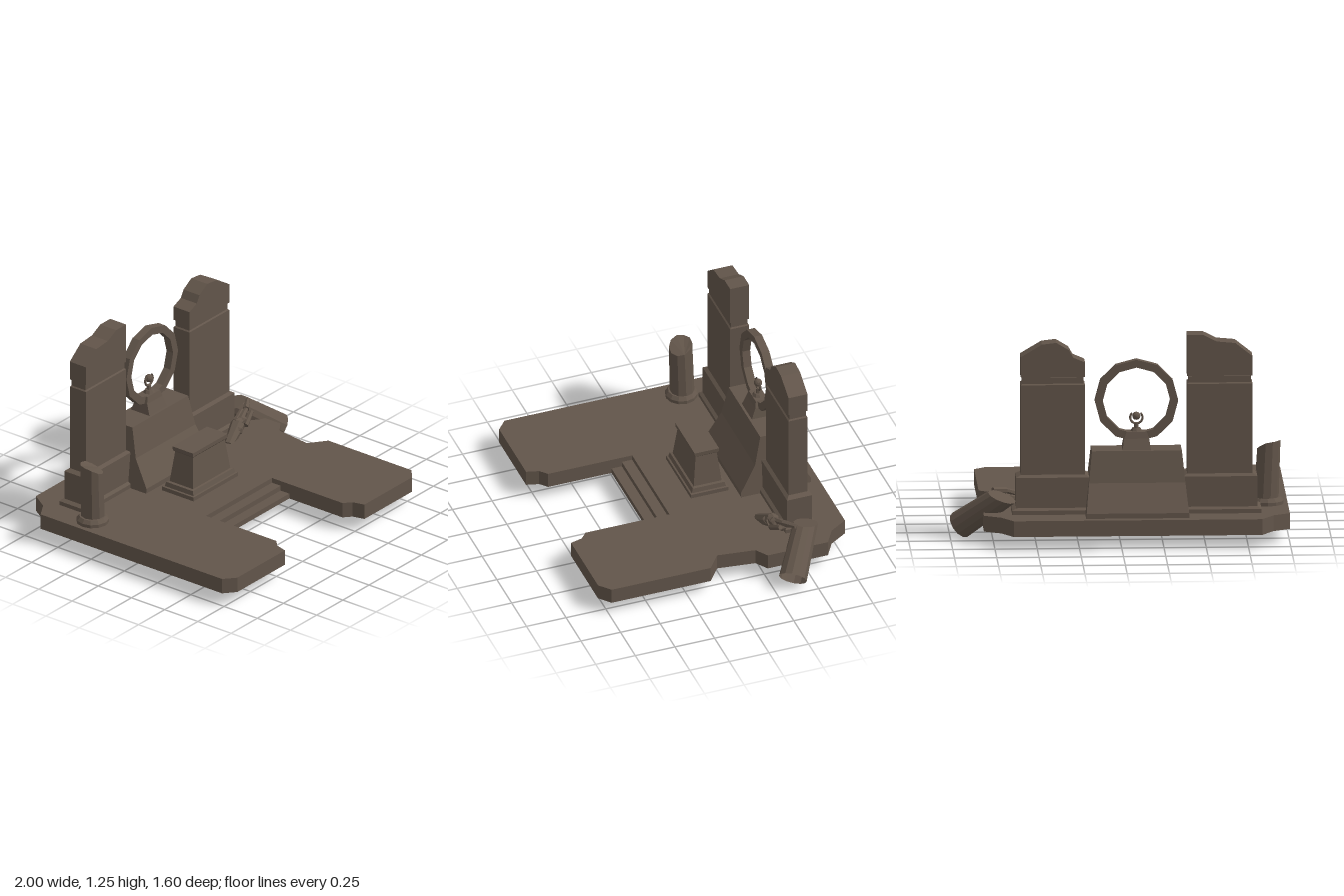
import * as THREE from 'three';

const V = (x, y, z) => new THREE.Vector3(x, y, z);
const stone = new THREE.MeshStandardMaterial({ color: 0x62554a, side: THREE.DoubleSide });
stone.name = 'weathered stone';

// flat-faced mesh
function part(name, geometry, parent) {
  const g = geometry.index ? geometry.toNonIndexed() : geometry;
  g.computeVertexNormals();
  const mesh = new THREE.Mesh(g, stone);
  mesh.name = name;
  parent.add(mesh);
  return mesh;
}

// skin over rings of points, listed counter-clockwise seen from the last ring
function loft(rings, closed = true, cap = true) {
  const pos = [], n = rings[0].length;
  const tri = (...pts) => pts.forEach(p => pos.push(p.x, p.y, p.z));
  for (let r = 0; r < rings.length - 1; r++) {
    const a = rings[r], b = rings[r + 1];
    for (let i = 0; i < (closed ? n : n - 1); i++) {
      const j = (i + 1) % n;
      tri(a[i], a[j], b[j]);
      tri(a[i], b[j], b[i]);
    }
  }
  if (cap) {
    const top = rings[rings.length - 1];
    for (let i = 1; i < n - 1; i++) tri(top[0], top[i], top[i + 1]);
  }
  const g = new THREE.BufferGeometry();
  g.setAttribute('position', new THREE.Float32BufferAttribute(pos, 3));
  return g;
}

// stacked rectangles: levels are [y, half width, half depth]
const stack = (cx, cz, levels) => loft(levels.map(([y, w, d]) => [
  V(cx - w, y, cz + d), V(cx + w, y, cz + d), V(cx + w, y, cz - d), V(cx - w, y, cz - d)]));

// horizontal circle of points around the origin
const circle = (r, n) => Array.from({ length: n }, (_, i) => {
  const a = i / n * Math.PI * 2;
  return V(Math.cos(a) * r, 0, -Math.sin(a) * r);
});

// tapered rod between two points
function rod(name, a, b, ra, rb, parent, sides = 6) {
  const dir = b.clone().sub(a);
  const m = part(name, new THREE.CylinderGeometry(rb, ra, dir.length(), sides), parent);
  m.position.copy(a).add(b).multiplyScalar(0.5);
  m.quaternion.setFromUnitVectors(V(0, 1, 0), dir.normalize());
}

function buildFloor(parent) {
  const low = 0.085, high = 0.18;
  const outline = [[0.22, 0.15], [0.22, 0.68], [0.265, 0.72], [0.285, 0.795], [0.74, 0.795],
    [0.81, 0.735], [0.81, 0.11], [0.705, 0.03], [0.735, -0.2], [0.81, -0.25], [0.81, -0.63],
    [0.71, -0.69], [0.64, -0.8], [-0.83, -0.8], [-0.9, -0.69], [-1, -0.63], [-1, 0.735],
    [-0.93, 0.795], [-0.475, 0.795], [-0.455, 0.72], [-0.41, 0.68], [-0.41, 0.15]];
  const shape = new THREE.Shape(outline.map(([x, z]) => new THREE.Vector2(x, -z)));
  part('floorTop', new THREE.ShapeGeometry(shape).rotateX(-Math.PI / 2).translate(0, high, 0), parent);
  // hollow underneath, so only the rim is walled
  part('floorRim', loft([low, high].map(y => outline.map(([x, z]) => V(x, y, z))), false, false), parent);
  // folded strip of steps
  const fold = [[0.28, low], [0.28, 0.117], [0.215, 0.117], [0.215, 0.149], [0.15, 0.149], [0.15, high]];
  part('steps', loft(fold.map(([z, y]) => [V(-0.41, y, z), V(0.22, y, z)]), false, false), parent);
}

// broken slab pillar; crown is the jagged front outline of its top
function buildPillar(name, cx, w, crown, parent) {
  const g = new THREE.Group();
  g.name = name;
  parent.add(g);
  const cz = -0.523;
  part('pillarShaft', stack(cx, cz, [
    [0.18, w + 0.052, 0.097], [0.205, w + 0.052, 0.097], [0.218, w + 0.028, 0.079],
    [0.4, w + 0.028, 0.079], [0.415, w, 0.06], [0.955, w, 0.06],
    [0.962, w - 0.008, 0.052], [1.0, w - 0.008, 0.052]]), g);
  const pts = [[cx - w, 1.003], [cx + w, 1.003], ...crown].map(p => new THREE.Vector2(...p));
  part('pillarCrown', new THREE.ExtrudeGeometry(new THREE.Shape(pts),
    { depth: 0.12, bevelEnabled: false }).translate(0, 0, cz - 0.06), g);
}

function buildPortal(parent) {
  const cx = -0.096, cz = -0.527;
  part('portalDais', stack(cx, cz, [[0.18, 0.306, 0.22], [0.21, 0.303, 0.22],
    [0.375, 0.285, 0.125], [0.56, 0.266, 0.085]]), parent);
  part('ringMount', stack(cx, cz, [[0.56, 0.084, 0.07], [0.625, 0.074, 0.045], [0.665, 0.06, 0.036]]), parent);

  // twelve-sided upright ring
  const polygon = r => Array.from({ length: 12 }, (_, i) =>
    new THREE.Vector2(Math.cos(i * Math.PI / 6) * r, Math.sin(i * Math.PI / 6) * r));
  const ring = new THREE.Shape(polygon(0.247));
  ring.holes.push(new THREE.Path(polygon(0.2).reverse()));
  part('portalRing', new THREE.ExtrudeGeometry(ring, { depth: 0.05, bevelEnabled: false })
    .translate(cx, 0.85, cz - 0.025), parent);

  // orb held in a crescent
  const holder = new THREE.Group();
  holder.name = 'orbHolder';
  holder.position.set(cx, 0, cz);
  parent.add(holder);
  part('holderFoot', new THREE.CylinderGeometry(0.024, 0.036, 0.02, 8).translate(0, 0.674, 0), holder);
  part('holderStem', new THREE.CylinderGeometry(0.012, 0.014, 0.035, 8).translate(0, 0.695, 0), holder);
  part('crescent', new THREE.TorusGeometry(0.036, 0.007, 5, 14, Math.PI * 1.5)
    .rotateZ(-Math.PI * 1.25).translate(0, 0.745, 0), holder);
  part('orb', new THREE.IcosahedronGeometry(0.025, 1).translate(0, 0.755, 0), holder);
}

function buildBrokenColumns(parent) {
  // standing stump with a slanted break
  const bottom = circle(0.073, 10).map(p => p.add(V(-0.873, 0.22, -0.338)));
  const top = circle(0.069, 10).map(p =>
    V(p.x - 0.888, Math.min(0.562, 0.54 - 0.4 * p.x - 0.35 * p.z), p.z - 0.334));
  part('stumpShaft', loft([bottom, top]), parent);
  part('stumpFoot', loft([[0.18, 0.097], [0.2, 0.097], [0.222, 0.08]].map(([y, r]) =>
    circle(r, 12).map(p => p.add(V(-0.878, y, -0.335))))), parent);

  // toppled column, hollow at its lower end
  const low = V(0.94, 0.072, -0.36), high = V(0.7, 0.272, -0.53);
  const axis = high.clone().sub(low).normalize();
  const turn = new THREE.Quaternion().setFromUnitVectors(V(0, 1, 0), axis);
  const lowRing = circle(0.084, 12).map(p => p.applyQuaternion(turn).add(low));
  const highRing = circle(0.073, 12).map(p => {
    p.applyQuaternion(turn);
    return p.addScaledVector(axis, -p.y * 0.5 / axis.y).add(high);
  });
  part('toppledColumn', loft([lowRing, highRing]), parent);
}

// fallen carved fragment beside the toppled column
function buildFragment(parent) {
  const g = new THREE.Group();
  g.name = 'fallenFragment';
  parent.add(g);
  rod('fragmentBody', V(0.42, 0.165, -0.335), V(0.56, 0.235, -0.375), 0.03, 0.045, g, 7);
  [[0.56, 0.24, -0.375, 0.04], [0.6, 0.25, -0.37, 0.03], [0.62, 0.225, -0.41, 0.032],
    [0.53, 0.22, -0.35, 0.035]].forEach(([x, y, z, r]) =>
    part('fragmentKnuckle', new THREE.IcosahedronGeometry(r, 0).translate(x, y, z), g));
  [[0.57, 0.25, -0.37, 0.67, 0.285, -0.4], [0.67, 0.285, -0.4, 0.75, 0.3, -0.45],
    [0.58, 0.23, -0.41, 0.68, 0.26, -0.44], [0.6, 0.22, -0.35, 0.69, 0.27, -0.375]]
    .forEach(c => rod('fragmentFinger', V(...c.slice(0, 3)), V(...c.slice(3)), 0.02, 0.015, g));
}

export function createModel() {
  const model = new THREE.Group();
  model.name = 'ruinedShrine';
  buildFloor(model);
  buildPillar('rightPillar', -0.588, 0.193,
    [[-0.395, 1.25], [-0.49, 1.25], [-0.57, 1.21], [-0.68, 1.2], [-0.781, 1.12]], model);
  buildPillar('leftPillar', 0.4, 0.19,
    [[0.59, 1.125], [0.465, 1.2], [0.38, 1.21], [0.305, 1.165], [0.28, 1.12], [0.21, 1.09]], model);
  buildPortal(model);
  // offering pedestal
  part('pedestal', stack(-0.096, -0.143, [[0.18, 0.212, 0.118], [0.205, 0.212, 0.118],
    [0.207, 0.2, 0.108], [0.235, 0.195, 0.1], [0.238, 0.178, 0.088], [0.43, 0.152, 0.067],
    [0.44, 0.163, 0.076], [0.465, 0.165, 0.077]]), model);
  buildBrokenColumns(model);
  buildFragment(model);
  return model;
}
